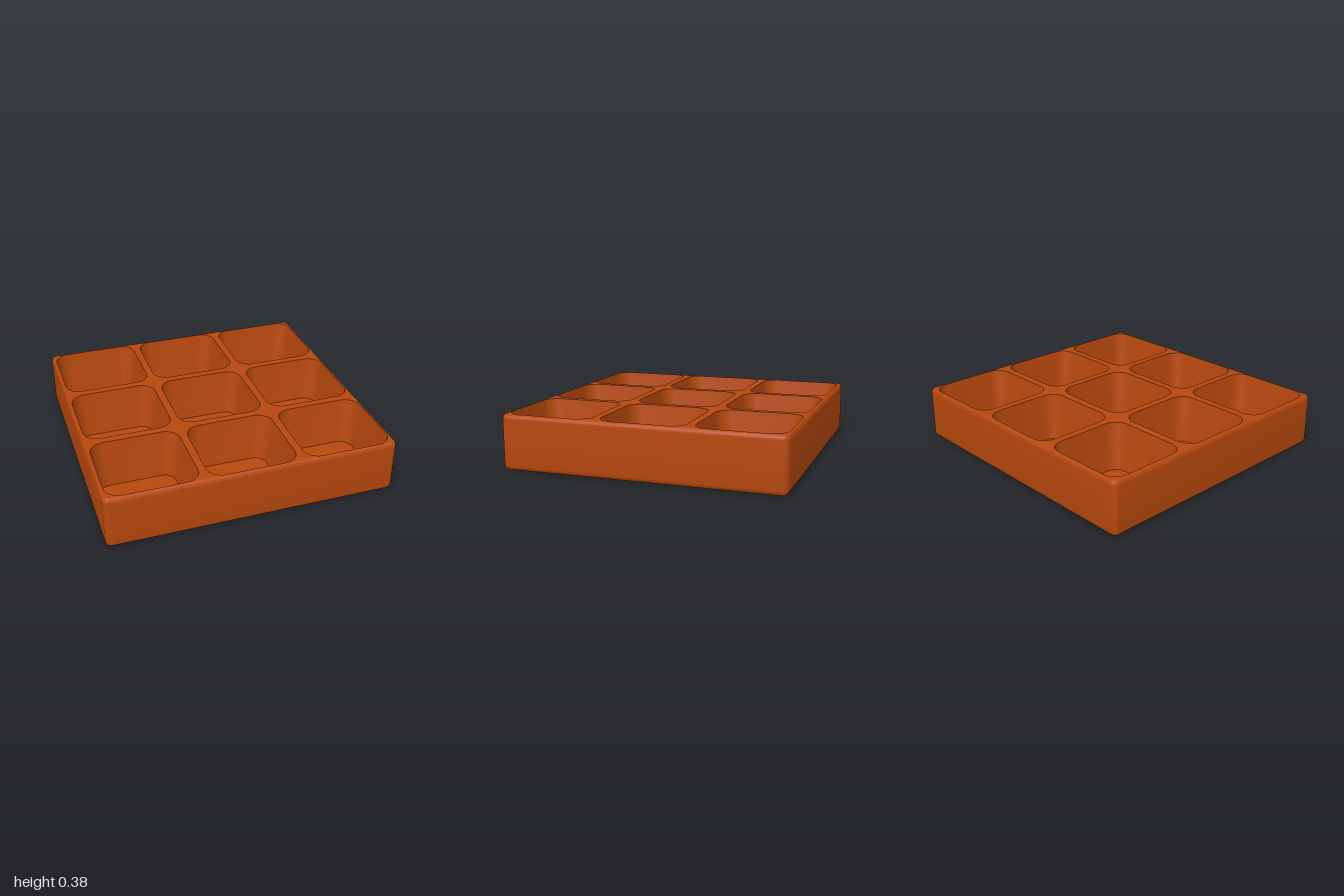
import * as THREE from 'three';
import { toCreasedNormals } from 'three/addons/utils/BufferGeometryUtils.js';

const HX = 1, HZ = 0.97, HEIGHT = 0.38, CORNER = 0.042;
const FLOOR_Y = 0.05;

// Rounded rectangle outline as Vector2 points (x, z)
function outline(hx, hz, r, cx = 0, cz = 0, n = 8) {
  const pts = [];
  [[1, 1], [-1, 1], [-1, -1], [1, -1]].forEach(([sx, sz], q) => {
    for (let i = 0; i <= n; i++) {
      const a = (q + i / n) * Math.PI / 2;
      pts.push(new THREE.Vector2(
        cx + sx * (hx - r) + r * Math.cos(a),
        cz + sz * (hz - r) + r * Math.sin(a)));
    }
  });
  return pts;
}

// Skin through outlines; bottom-to-top faces outward, top-to-bottom inward
function loft(sections) {
  const pos = [], idx = [], m = sections[0].pts.length;
  for (const { pts, y } of sections) for (const p of pts) pos.push(p.x, y, p.y);
  for (let s = 0; s < sections.length - 1; s++) {
    for (let i = 0; i < m; i++) {
      const a = s * m + i, b = s * m + (i + 1) % m;
      idx.push(a, a + m, b, b, a + m, b + m);
    }
  }
  const g = new THREE.BufferGeometry();
  g.setAttribute('position', new THREE.Float32BufferAttribute(pos, 3));
  g.setIndex(idx);
  return toCreasedNormals(g, Math.PI / 5);
}

// Flat horizontal face, optionally pierced by holes
function plate(pts, y, up = true, holes = []) {
  const flip = (list) => list.map((p) => new THREE.Vector2(p.x, up ? -p.y : p.y));
  const shape = new THREE.Shape(flip(pts));
  shape.holes = holes.map((h) => new THREE.Path(flip(h)));
  const g = new THREE.ShapeGeometry(shape);
  g.rotateX(up ? -Math.PI / 2 : Math.PI / 2);
  g.translate(0, y, 0);
  return g;
}

export function createModel() {
  const group = new THREE.Group();
  group.name = 'compartmentTray';
  const rust = new THREE.MeshStandardMaterial({ color: 0xb7480e });
  rust.name = 'rust';
  const add = (name, geometry) => {
    const mesh = new THREE.Mesh(geometry, rust);
    mesh.name = name;
    group.add(mesh);
  };

  // Outer walls with rounded lower and upper edges
  const steps = 6, edge = 0.035, topInset = 0.022;
  const ring = (inset) => outline(HX - inset, HZ - inset, CORNER - inset);
  const sections = [];
  for (let i = 0; i <= steps; i++) {
    const a = i / steps * Math.PI / 2;
    sections.push({ pts: ring(edge * (1 - Math.sin(a))), y: edge * (1 - Math.cos(a)) });
  }
  for (let i = 0; i <= steps; i++) {
    const a = i / steps * Math.PI / 2;
    sections.push({ pts: ring(topInset * (1 - Math.cos(a))), y: HEIGHT - edge * (1 - Math.sin(a)) });
  }
  add('outerWalls', loft(sections));
  add('underside', plate(ring(edge), 0, false));

  // Nine drafted pockets in a three by three grid
  const openings = [];
  for (const row of [-1, 0, 1]) {
    for (const col of [-1, 0, 1]) {
      const cx = col * 0.666, cz = row * 0.649;
      const mouth = outline(0.307, 0.297, 0.105, cx, cz);
      const base = outline(0.264, 0.255, 0.085, cx, cz);
      openings.push(mouth);
      add('pocketWalls', loft([{ pts: mouth, y: HEIGHT }, { pts: base, y: FLOOR_Y }]));
      add('pocketFloor', plate(base, FLOOR_Y));
    }
  }

  // Top rim and dividers
  add('topRim', plate(ring(topInset), HEIGHT, true, openings));
  return group;
}
